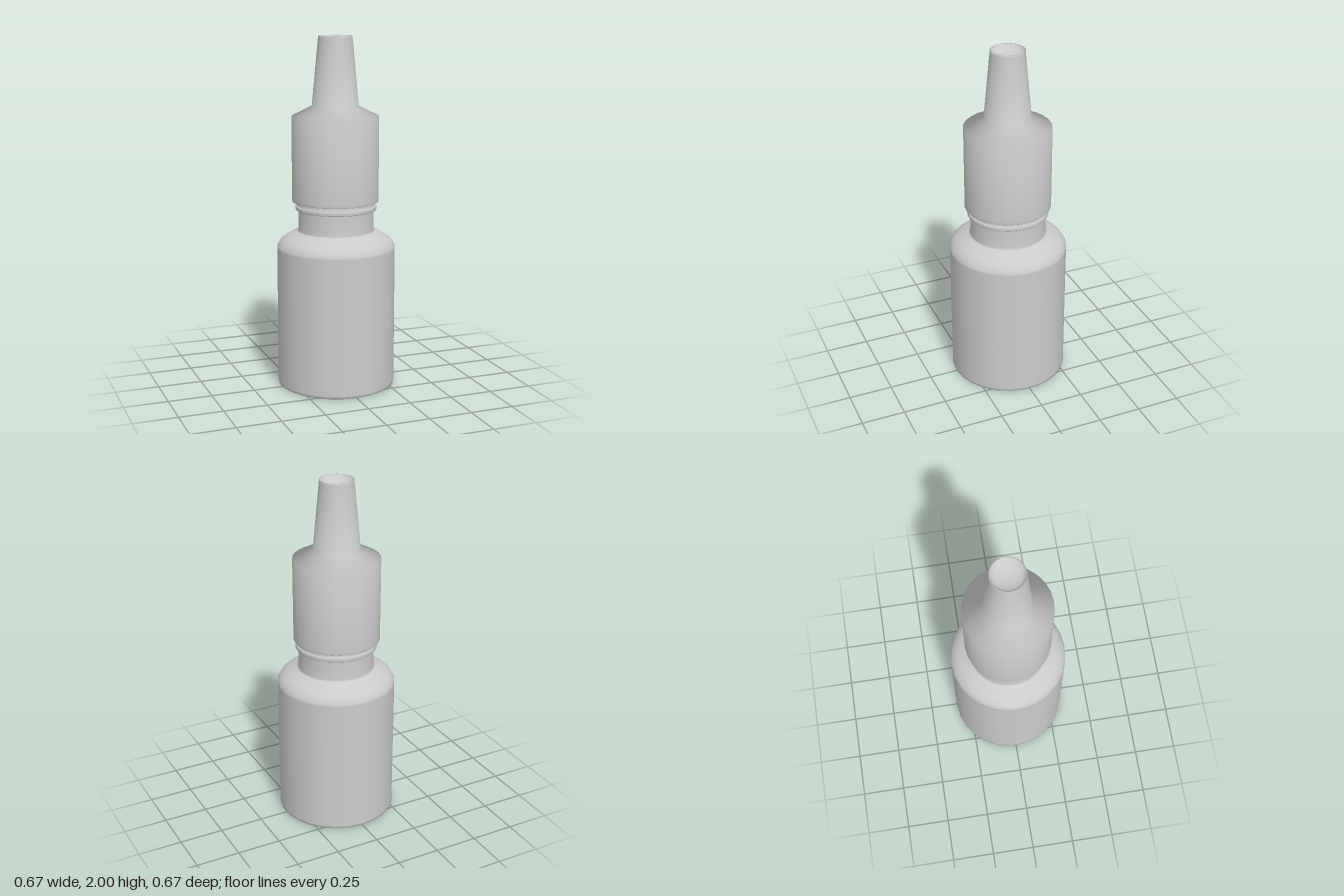
import * as THREE from 'three';

const SIDES = 26;

// Turned part from [radius, height] pairs, listed so the surface faces outward
function turned(name, profile) {
  const points = profile.map(([r, y]) => new THREE.Vector2(r, y));
  const material = new THREE.MeshStandardMaterial({ color: 0xcccccc });
  const mesh = new THREE.Mesh(new THREE.LatheGeometry(points, SIDES), material);
  mesh.name = name;
  return mesh;
}

export function createModel() {
  const group = new THREE.Group();
  group.name = 'dropperBottle';

  // Bottle: flat base, straight wall, rounded shoulder and neck
  const bottle = turned('bottle', [
    [0, 0], [0.325, 0], [0.337, 0.006], [0.337, 0.02], [0.337, 0.8], [0.337, 0.815],
    [0.321, 0.842], [0.298, 0.862], [0.265, 0.882], [0.226, 0.9],
    [0.215, 0.908], [0.215, 1.02], [0.215, 1.09],
  ]);

  // Tamper ring: flange with a narrower lip above it
  const ring = turned('tamperRing', [
    [0.21, 1.023], [0.228, 1.023], [0.232, 1.027], [0.232, 1.044],
    [0.228, 1.048], [0.219, 1.048], [0.219, 1.08],
  ]);

  // Cap: skirt, sloping shoulder, tapered nozzle and a dished tip
  const cap = turned('cap', [
    [0.2, 1.07], [0.243, 1.07], [0.246, 1.073], [0.246, 1.09], [0.246, 1.555],
    [0.132, 1.612], [0.096, 1.99], [0.096, 2], [0.092, 2],
    [0.088, 1.985], [0.07, 1.974], [0.04, 1.965], [0, 1.961],
  ]);
  cap.position.set(-0.004, 0, -0.001);

  group.add(bottle, ring, cap);
  return group;
}
